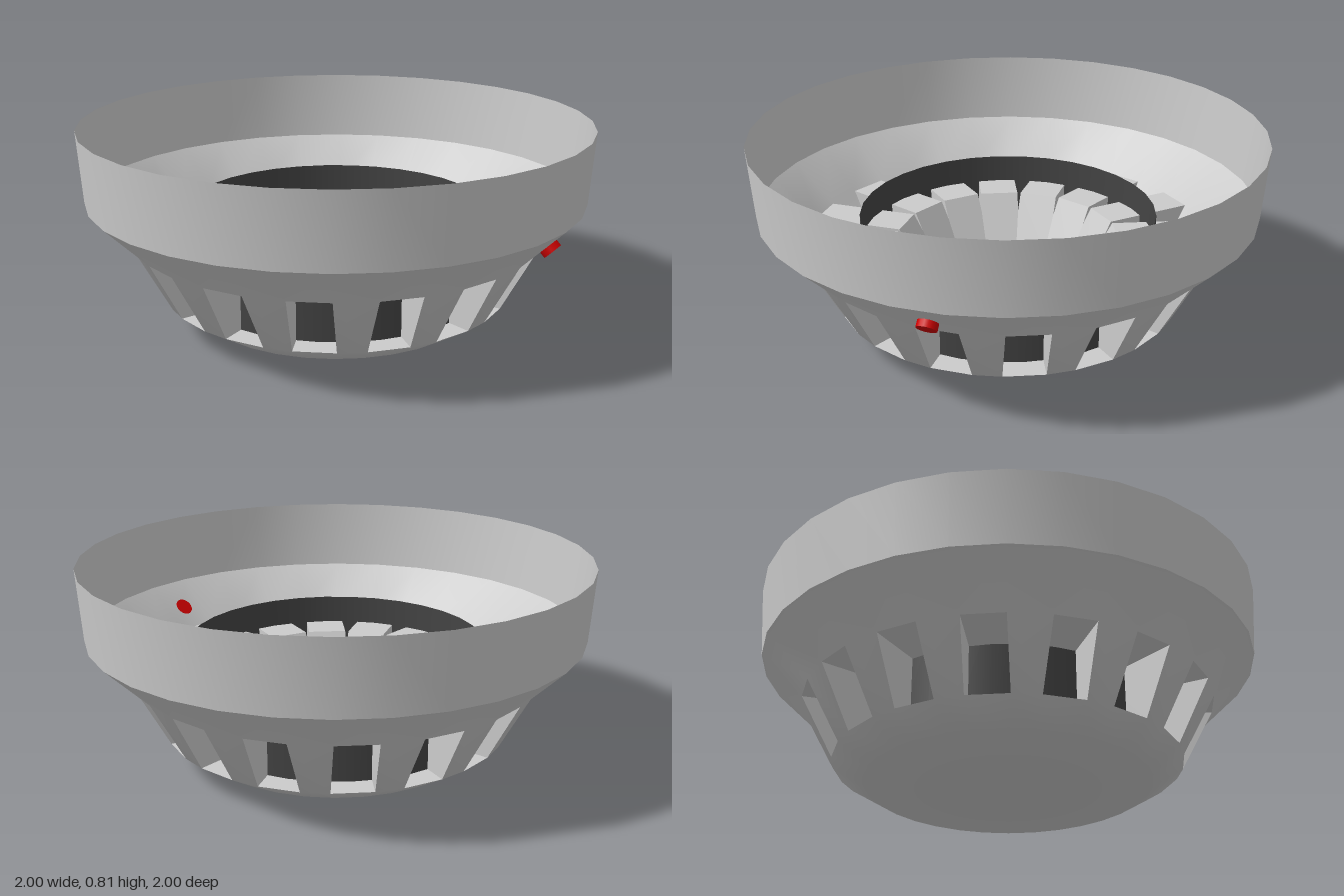
import * as THREE from 'three';
import { toCreasedNormals } from 'three/addons/utils/BufferGeometryUtils.js';

const VENTS = 16;
const HALF = Math.PI / (VENTS * 2);   // half the angle of one of 32 facets
const SLOT = 0.08;                    // half width of a vent

const grey = new THREE.MeshStandardMaterial({ color: 0xcccccc, side: THREE.DoubleSide });
const dark = new THREE.MeshStandardMaterial({ color: 0x444444, side: THREE.DoubleSide });
const red = new THREE.MeshStandardMaterial({ color: 0xcc0000 });

// Point at radial distance r and sideways offset t in the sector of vent k
function at(k, r, t, y) {
  const a = (k * Math.PI * 2) / VENTS;
  const c = Math.cos(a), s = Math.sin(a);
  return [r * c - t * s, y, r * s + t * c];
}

function quad(out, a, b, c, d) {
  out.push(...a, ...b, ...c, ...a, ...c, ...d);
}

function toGeometry(points) {
  const g = new THREE.BufferGeometry();
  g.setAttribute('position', new THREE.Float32BufferAttribute(points, 3));
  g.computeVertexNormals();
  return g;
}

// Rings of the housing, bottom to top: distance to facet, height, facet half width
const ring = (r, y, w = r * Math.tan(HALF)) => ({ r, y, w });
const RINGS = [
  ring(0, 0.005), ring(0.28, 0.025), ring(0.555, 0.045),
  ring(0.683, 0.125, SLOT), ring(0.813, 0.365, SLOT),
  ring(0.98, 0.53), ring(1, 0.815),
];
const SLOT_ROW = 3;

// Open bowl with one band of vent openings
function housingGeometry() {
  const pts = [];
  for (let i = 0; i < RINGS.length - 1; i++) {
    const lo = RINGS[i], hi = RINGS[i + 1];
    for (let k = 0; k < VENTS; k++) {
      const edge = (q, side, n = k) => at(n, q.r, side * q.w, q.y);
      const spans = [[edge(lo, 1), edge(hi, 1), edge(hi, -1, k + 1), edge(lo, -1, k + 1)]];
      if (i !== SLOT_ROW) spans.push([edge(lo, -1), edge(hi, -1), edge(hi, 1), edge(lo, 1)]);
      for (const [a, b, c, d] of spans) {
        if (lo.r === 0) pts.push(...a, ...b, ...c);
        else quad(pts, a, b, c, d);
      }
    }
  }
  return toCreasedNormals(toGeometry(pts), 0.6);
}

// Slanted tunnel leading inwards from a vent, open at its outer end
function ventGeometry() {
  const path = [[0.813, 0.365], [0.44, 0.365], [0.31, 0.125], [0.683, 0.125]];
  const pts = [];
  const p = (i, side) => at(0, path[i][0], side * SLOT, path[i][1]);
  for (let i = 0; i < 3; i++) quad(pts, p(i, -1), p(i + 1, -1), p(i + 1, 1), p(i, 1));
  quad(pts, p(0, 1), p(1, 1), p(2, 1), p(3, 1));
  quad(pts, p(3, -1), p(2, -1), p(1, -1), p(0, -1));
  return toGeometry(pts);
}

export function createModel() {
  const model = new THREE.Group();
  model.name = 'smokeDetector';
  const add = (name, geometry, material, parent = model) => {
    const mesh = new THREE.Mesh(geometry, material);
    mesh.name = name;
    parent.add(mesh);
    return mesh;
  };

  add('housing', housingGeometry(), grey);

  // Ring of vent tunnels
  const vents = new THREE.Group();
  vents.name = 'vents';
  model.add(vents);
  const tunnel = ventGeometry();
  for (let k = 0; k < VENTS; k++) {
    add('vent', tunnel, grey, vents).rotation.y = (k * Math.PI * 2) / VENTS;
  }

  // Dark screen standing across the tunnels
  const screen = new THREE.CylinderGeometry(0.59, 0.59, 0.355, 32, 1, true);
  add('screen', screen, dark).position.y = 0.3025;

  // Indicator light on the sloping shoulder
  const light = add('indicatorLight', new THREE.CylinderGeometry(0.038, 0.038, 0.028, 16), red);
  const normal = new THREE.Vector3(0.165, -0.167, 0).normalize();
  light.quaternion.setFromUnitVectors(new THREE.Vector3(0, 1, 0), normal);
  light.position.set(0.888, 0.439, 0).addScaledVector(normal, 0.013);

  return model;
}
